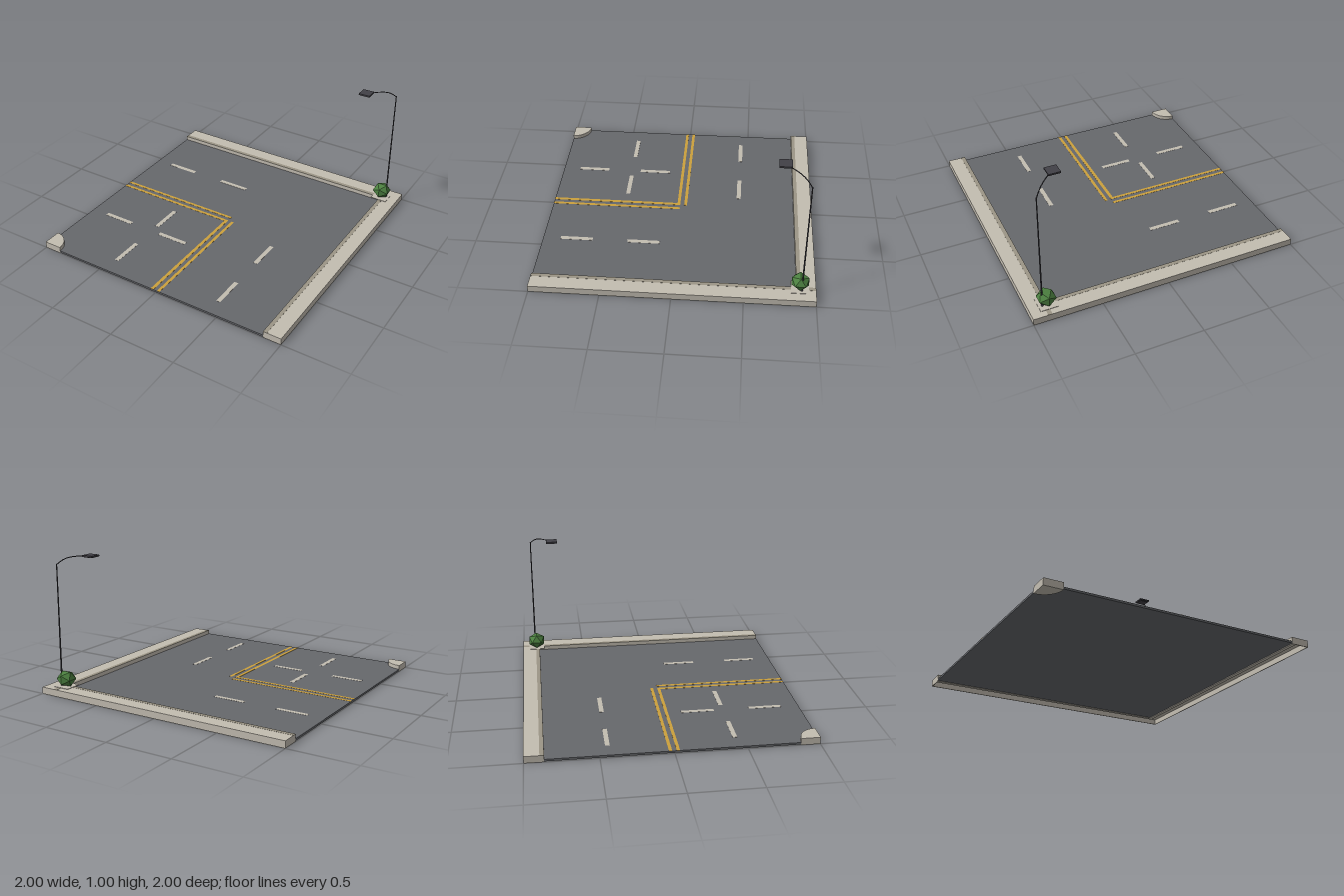
import * as THREE from 'three';

const mat = (name, color, extra = {}) => Object.assign(new THREE.MeshStandardMaterial({ color, ...extra }), { name });

export function createModel() {
  const asphalt = mat('asphalt', 0x66686c);
  const concrete = mat('concrete', 0xc3bdb1);
  const curbStone = mat('curbStone', 0x9c9686);
  const yellowPaint = mat('yellowPaint', 0xcca03c);
  const metal = mat('darkMetal', 0x424147);
  const leaf = mat('leaf', 0x4c8040, { flatShading: true });

  const model = new THREE.Group();
  model.name = 'streetCorner';

  const add = (name, geometry, material, parent = model) => {
    const mesh = new THREE.Mesh(geometry, material);
    mesh.name = name;
    parent.add(mesh);
    return mesh;
  };
  // Box given by its limits on each axis
  const box = (name, [x0, x1], [y0, y1], [z0, z1], material, parent) => {
    const g = new THREE.BoxGeometry(x1 - x0, y1 - y0, z1 - z0);
    g.translate((x0 + x1) / 2, (y0 + y1) / 2, (z0 + z1) / 2);
    return add(name, g, material, parent);
  };
  // Plan outline (shape y = -z) raised between two heights
  const slab = (name, shape, y0, y1, material) => {
    const g = new THREE.ExtrudeGeometry(shape, { depth: y1 - y0, bevelEnabled: false, curveSegments: 10 });
    g.rotateX(-Math.PI / 2).translate(0, y0, 0);
    return add(name, g, material);
  };

  const inner = 0.865, strip = 0.895, top = 0.05, roadTop = 0.02, cornerR = 0.135;

  // Road with a notch for the rounded corner
  const road = new THREE.Shape();
  road.moveTo(-1 + cornerR, -1);
  road.lineTo(inner, -1);
  road.lineTo(inner, inner);
  road.lineTo(-1, inner);
  road.lineTo(-1, -1 + cornerR);
  road.absarc(-1, -1, cornerR, Math.PI / 2, 0, true);
  slab('road', road, 0.005, roadTop, asphalt);

  // Rounded pavement corner
  const corner = new THREE.Shape();
  corner.moveTo(-1, -1);
  corner.lineTo(-1 + cornerR, -1);
  corner.absarc(-1, -1, cornerR, 0, Math.PI / 2, false);
  corner.lineTo(-1, -1);
  slab('pavementCorner', corner, 0, top, concrete);

  // L-shaped pavement, open below, with an outer skirt
  const pavement = new THREE.Shape([[-1, 1], [-1, strip], [strip, strip], [strip, -1], [1, -1], [1, 1]]
    .map(([x, y]) => new THREE.Vector2(x, y)));
  slab('pavement', pavement, 0.04, top, concrete);
  box('sideSkirt', [0.995, 1], [0, 0.04], [-1, 1], concrete);
  box('backSkirt', [-1, 0.995], [0, 0.04], [-1, -0.995], concrete);
  box('sideSkirtEnd', [strip, 0.995], [0, 0.04], [0.995, 1], concrete);
  box('backSkirtEnd', [-1, -0.995], [0, 0.04], [-0.995, -strip], concrete);

  // Curbs with darker top strips
  box('sideCurb', [inner, strip], [0, top], [-strip, 1], concrete);
  box('backCurb', [-1, inner], [0, top], [-strip, -inner], concrete);
  box('sideCurbStrip', [inner, strip], [top, top + 0.001], [-1, 1], curbStone);
  box('backCurbStrip', [-1, inner], [top, top + 0.001], [-strip, -inner], curbStone);

  // Road paint
  const paint = [roadTop, roadTop + 0.001];
  const lines = new THREE.Group();
  lines.name = 'laneMarkings';
  model.add(lines);
  box('centreLine', [-1, -0.016], paint, [-0.04, -0.018], yellowPaint, lines);
  box('centreLine', [-1, -0.04], paint, [0.013, 0.035], yellowPaint, lines);
  box('centreLine', [-0.04, -0.016], paint, [0.013, 1], yellowPaint, lines);
  box('centreLine', [0.013, 0.035], paint, [0.013, 1], yellowPaint, lines);
  for (const lane of [-0.44, 0.436]) {
    const width = [lane - 0.016, lane + 0.016];
    for (const start of [0.13, 0.63]) {
      box('laneDash', [-start - 0.24, -start], paint, width, concrete, lines);
      box('laneDash', width, paint, [start, start + 0.24], concrete, lines);
    }
  }

  // Street lamp: post, curved arm and flat head
  const lamp = new THREE.Group();
  lamp.name = 'streetLamp';
  lamp.position.set(0.9, top, -0.9);
  model.add(lamp);
  const post = add('lampPost', new THREE.CylinderGeometry(0.004, 0.006, 0.9, 8), metal, lamp);
  post.position.y = 0.45;
  const base = add('lampBase', new THREE.CylinderGeometry(0.008, 0.01, 0.02, 8), metal, lamp);
  base.position.y = 0.01;
  const arm = new THREE.CatmullRomCurve3([[0, 0.895], [0.035, 0.93], [0.075, 0.946], [0.15, 0.95]]
    .map(([d, y]) => new THREE.Vector3(-d, y, d)));
  add('lampArm', new THREE.TubeGeometry(arm, 8, 0.0035, 6), metal, lamp);
  box('lampHead', [-0.215, -0.13], [0.943, 0.955], [0.125, 0.21], metal, lamp);
  box('lampGlass', [-0.205, -0.14], [0.939, 0.943], [0.135, 0.2], metal, lamp);

  // Bush on a square paving tile
  box('bushTile', [0.805, 0.93], [top, top + 0.003], [-0.95, -0.825], concrete);
  const bush = add('bush', new THREE.IcosahedronGeometry(0.071, 0), leaf);
  bush.scale.y = 0.88;
  bush.position.set(0.866, 0.107, -0.888);

  return model;
}
